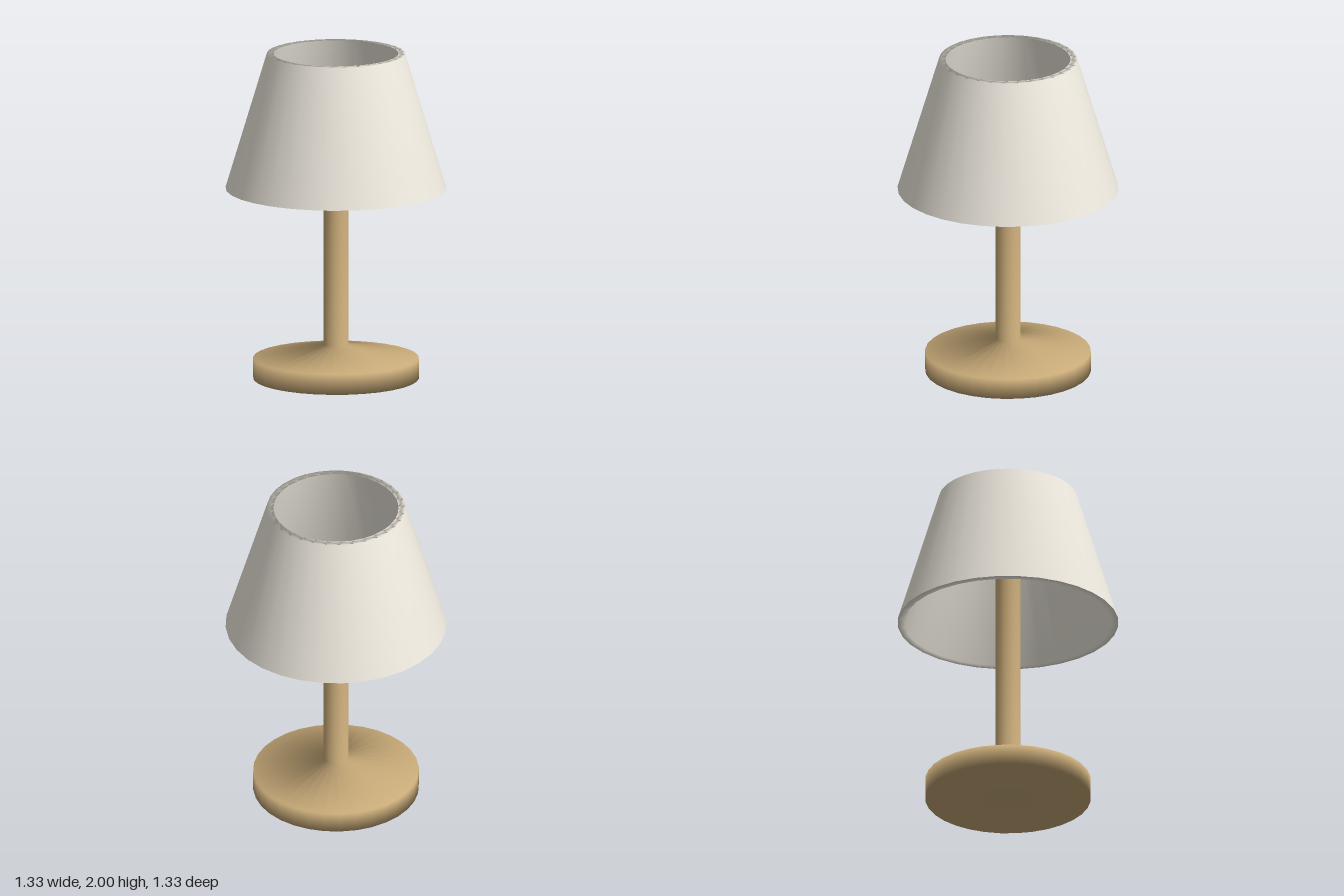
import * as THREE from 'three';

const SIDES = 32;

// Revolves a profile of [radius, height] points around the y axis.
function turned(name, profile, color) {
  const points = profile.map(([r, y]) => new THREE.Vector2(r, y));
  const mesh = new THREE.Mesh(
    new THREE.LatheGeometry(points, SIDES),
    new THREE.MeshStandardMaterial({ color })
  );
  mesh.name = name;
  return mesh;
}

export function createModel() {
  const lamp = new THREE.Group();
  lamp.name = 'tableLamp';

  // Weighted foot with a shallow cone, running into the pole
  lamp.add(turned('baseAndPole', [
    [0, 0], [0.5, 0], [0.5, 0.125],
    [0.075, 0.21], [0.075, 1.63], [0, 1.63],
  ], 0xc8aa78));

  // Open shade with a thick wall: up the outside, down the inside
  lamp.add(turned('shade', [
    [0.667, 1.17], [0.417, 2], [0.378, 2], [0.625, 1.17], [0.667, 1.17],
  ], 0xf0ebe0));

  return lamp;
}
